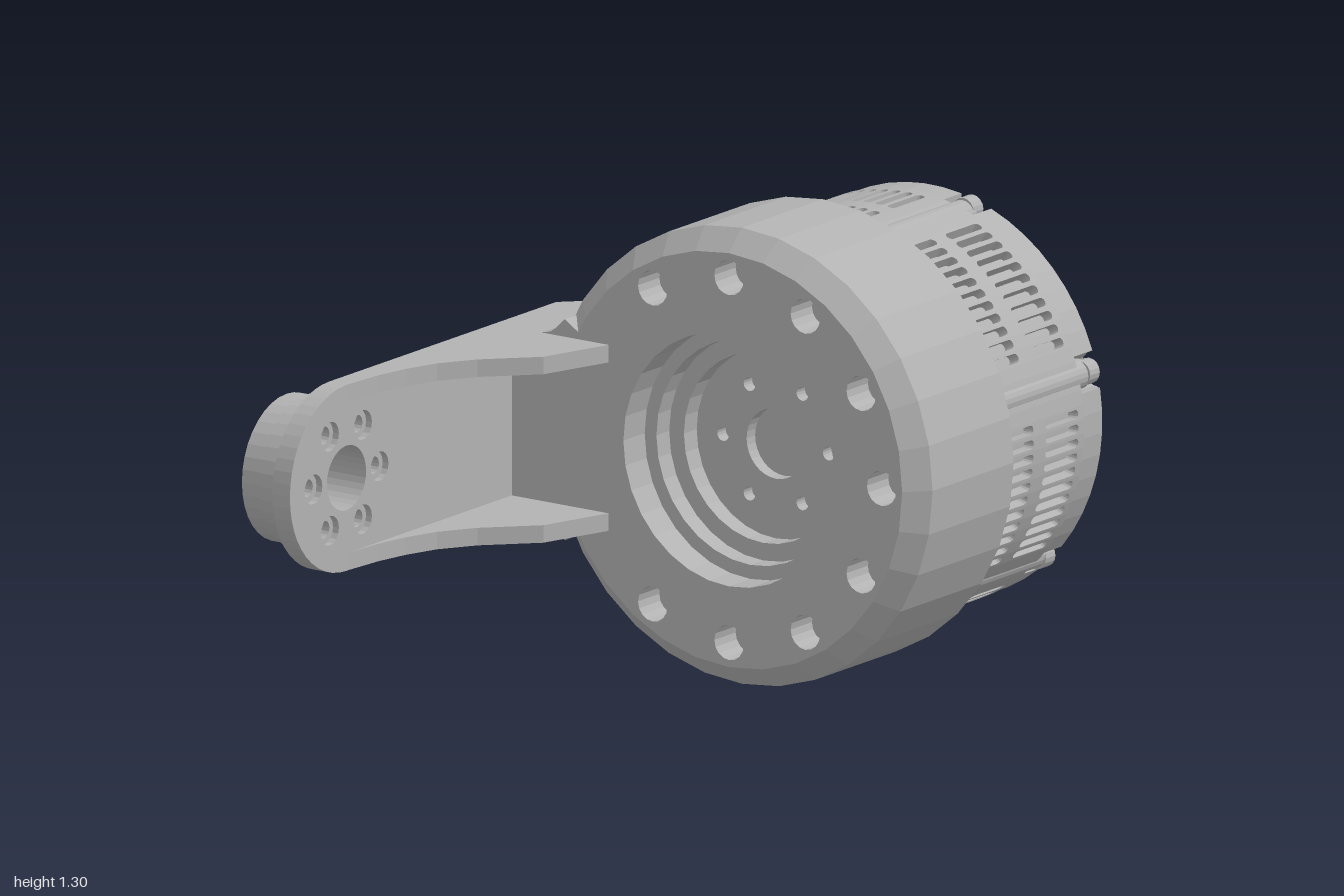
import * as THREE from 'three';
import { toCreasedNormals, mergeGeometries } from 'three/addons/utils/BufferGeometryUtils.js';

const metal = new THREE.MeshStandardMaterial({ color: 0xb2b2b2 });
metal.name = 'machined grey';

const V = (x, y) => new THREE.Vector2(x, y);
const polar = (r, a, cx = 0, cy = 0) => V(cx + r * Math.cos(a), cy + r * Math.sin(a));
const rad = THREE.MathUtils.degToRad;
const circle = (r, n = 32, cx = 0, cy = 0) =>
  Array.from({ length: n }, (_, i) => polar(r, (i / n) * Math.PI * 2, cx, cy));
// n holes of radius r spread on a pitch circle
const boltHoles = (n, pitch, r, start = 0) =>
  Array.from({ length: n }, (_, i) => {
    const c = polar(pitch, start + (i / n) * Math.PI * 2);
    return circle(r, 16, c.x, c.y);
  });

function extrude(points, holes, depth) {
  const shape = new THREE.Shape(points);
  shape.holes = holes.map((h) => new THREE.Path(h));
  return new THREE.ExtrudeGeometry(shape, { depth, bevelEnabled: false });
}

// Outline in (-z, y), swept from x0 to x1
function extrudeX(points, holes, x0, x1) {
  return extrude(points, holes, x1 - x0).rotateY(Math.PI / 2).translate(x0, 0, 0);
}

// Profile of [radius, x] pairs turned around the x axis
function latheX(profile, sides, crease) {
  const g = new THREE.LatheGeometry(profile.map((p) => V(p[0], p[1])), sides);
  return toCreasedNormals(g.rotateZ(-Math.PI / 2), crease);
}

function add(parent, name, geometry) {
  const mesh = new THREE.Mesh(geometry, metal);
  mesh.name = name;
  parent.add(mesh);
  return mesh;
}

const BOSS_START = rad(45.5);
const BOSS_PITCH = 0.571;

// Disc outline with six round notches for the screws
function notchedDisc(R) {
  const pts = [];
  for (let k = 0; k < 6; k++) {
    const a = BOSS_START + (k * Math.PI) / 3;
    const c = polar(BOSS_PITCH, a);
    for (let i = 0; i <= 8; i++) {
      const p = polar(0.05, a - Math.PI / 2 - (i * Math.PI) / 8, c.x, c.y);
      if (p.length() < R) pts.push(p);
    }
    for (let i = 0; i <= 8; i++) pts.push(polar(R, a + 0.09 + (i / 8) * (Math.PI / 3 - 0.18)));
  }
  return pts;
}

// Rounded slot running along x
function slot(x0, x1, r) {
  const pts = [];
  for (let i = 0; i <= 6; i++) pts.push(polar(r, -Math.PI / 2 + (i * Math.PI) / 6, x1 - r, 0));
  for (let i = 0; i <= 6; i++) pts.push(polar(r, Math.PI / 2 + (i * Math.PI) / 6, x0 + r, 0));
  return pts;
}

function buildHousing() {
  const g = new THREE.Group();
  g.name = 'housing';
  add(g, 'housingShell', latheX(
    [[0.59, 0.04], [0.65, 0.1], [0.65, 0.48], [0.62, 0.48], [0.62, 0.38], [0.5, 0.38]], 32, 0.1));

  // Front flange with bolt holes, leaving out those behind the arm
  const holes = boltHoles(12, 0.52, 0.05).filter((_, i) => i > 1 && i < 11);
  add(g, 'boltFlange', extrudeX(circle(0.59), [circle(0.36), ...holes], 0.04, 0.14));
  add(g, 'boreStepOuter', extrudeX(circle(0.6), [circle(0.32)], 0.14, 0.2));
  add(g, 'boreStepInner', extrudeX(circle(0.4), [circle(0.27)], 0.2, 0.26));
  add(g, 'boreFloor', extrudeX(circle(0.32), [circle(0.1), ...boltHoles(6, 0.18, 0.02)], 0.26, 0.3));

  // Filleted block that joins the round housing to the arm
  const side = [[0.56, 0.315], [0.59, 0.285], [0.61, 0.272], [0.64, 0.265], [0.8, 0.265]];
  const blockOutline = (inner) => {
    const pts = [];
    for (let i = 0; i <= 8; i++) pts.push(polar(inner, rad(-29 + (i * 58) / 8)));
    side.forEach((p) => pts.push(V(p[0], p[1])));
    side.slice().reverse().forEach((p) => pts.push(V(p[0], -p[1])));
    return pts;
  };
  add(g, 'armBlock', extrudeX(blockOutline(0.58), [], 0.04, 0.33));
  const bevel = extrudeX(blockOutline(0.63), [], 0.33, 0.48);
  const pos = bevel.attributes.position;
  for (let i = 0; i < pos.count; i++) {
    pos.setZ(i, Math.max(pos.getZ(i), -0.8 + (pos.getX(i) - 0.33)));
  }
  bevel.computeVertexNormals();
  add(g, 'armBlockBevel', bevel);
  return g;
}

function buildMotor() {
  const g = new THREE.Group();
  g.name = 'motor';
  add(g, 'core', latheX([[0, 0.3], [0.54, 0.3], [0.54, 0.95], [0, 0.95]], 48, 0.5));
  add(g, 'innerCollar', latheX([[0.54, 0.38], [0.59, 0.38], [0.59, 0.485], [0.54, 0.485]], 60, 0.5));

  // Ventilated jacket of narrow staves: eleven slotted, then four plain
  const step = rad(4);
  const half = 0.588 * Math.tan(step / 2);
  const outline = [V(0.48, -half), V(0.895, -half), V(0.895, half), V(0.48, half)];
  const slots = [slot(0.52, 0.66, 0.013), slot(0.715, 0.87, 0.013)];
  const plain = extrude(outline, [], 0.033).translate(0, 0, 0.555);
  const vented = extrude(outline, slots, 0.033).translate(0, 0, 0.555);
  const staves = [];
  for (let i = 0; i < 90; i++) {
    const stave = (i % 15 < 11 ? vented : plain).clone();
    staves.push(stave.rotateX(Math.PI + BOSS_START + rad(10) + i * step));
  }
  add(g, 'ventedJacket', mergeGeometries(staves));

  // Screw bosses along the jacket, with socket screws in the end notches
  for (let k = 0; k < 6; k++) {
    const a = BOSS_START + (k * Math.PI) / 3;
    const b = polar(0.552, a);
    add(g, 'screwBoss', extrudeX(circle(0.043, 20, b.x, b.y), [], 0.48, 0.94));
    const s = polar(BOSS_PITCH - 0.005, a);
    add(g, 'screwHead', extrudeX(circle(0.036, 16, s.x, s.y), [circle(0.018, 6, s.x, s.y)], 0.93, 0.975));
  }
  add(g, 'capRim', extrudeX(notchedDisc(0.585), [], 0.89, 0.985));
  add(g, 'endPlate', extrudeX(notchedDisc(0.565), boltHoles(6, 0.51, 0.018, rad(16)), 0.985, 1.0));
  return g;
}

function buildArm() {
  const g = new THREE.Group();
  g.name = 'arm';
  const cx = -0.735;

  // Flat plate with a round end and counterbored holes, origin at the joint
  const outline = [];
  for (let i = 0; i <= 24; i++) outline.push(polar(0.265, Math.PI / 2 + (i * Math.PI) / 24));
  outline.push(V(0.1 - cx, -0.265), V(0.1 - cx, 0.265));
  const layer = (name, pts, holeR, z0, z1, centre = 0.092) => {
    const holes = [circle(centre), ...(holeR ? boltHoles(6, 0.155, holeR) : [])];
    add(g, name, extrude(pts, holes, z1 - z0).translate(cx, 0, z0));
  };
  layer('armPlate', outline, 0.025, -0.64, -0.6);
  layer('armPlateFace', outline, 0.042, -0.6, -0.58);

  // Stepped hub on the back of the plate
  layer('hubFlange', circle(0.23, 36), 0.025, -0.665, -0.64);
  layer('hubBody', circle(0.216, 36), 0.025, -0.72, -0.665);
  layer('hubShoulder', circle(0.208, 36), 0.025, -0.785, -0.72);
  layer('hubLip', circle(0.126, 36), 0, -0.818, -0.785);

  // Stiffening ribs that sweep up to the housing
  const rib = [[-0.72, -0.58], [-0.6, -0.57], [-0.5, -0.55], [-0.4, -0.515], [-0.3, -0.45],
    [-0.17, -0.32], [0.04, -0.25], [0.08, -0.25], [0.08, -0.62], [-0.72, -0.62]].map((p) => V(p[0], p[1]));
  for (const top of [0.265, -0.215]) {
    add(g, 'armRib', extrude(rib, [], 0.05).rotateX(Math.PI / 2).translate(0, top, 0));
  }
  return g;
}

export function createModel() {
  const model = new THREE.Group();
  model.name = 'motorOnArm';
  const drive = new THREE.Group();
  drive.name = 'drive';
  drive.position.set(0, 0.653, 0.16);
  drive.add(buildHousing(), buildMotor());
  const arm = buildArm();
  arm.position.y = 0.653;
  model.add(drive, arm);
  return model;
}
